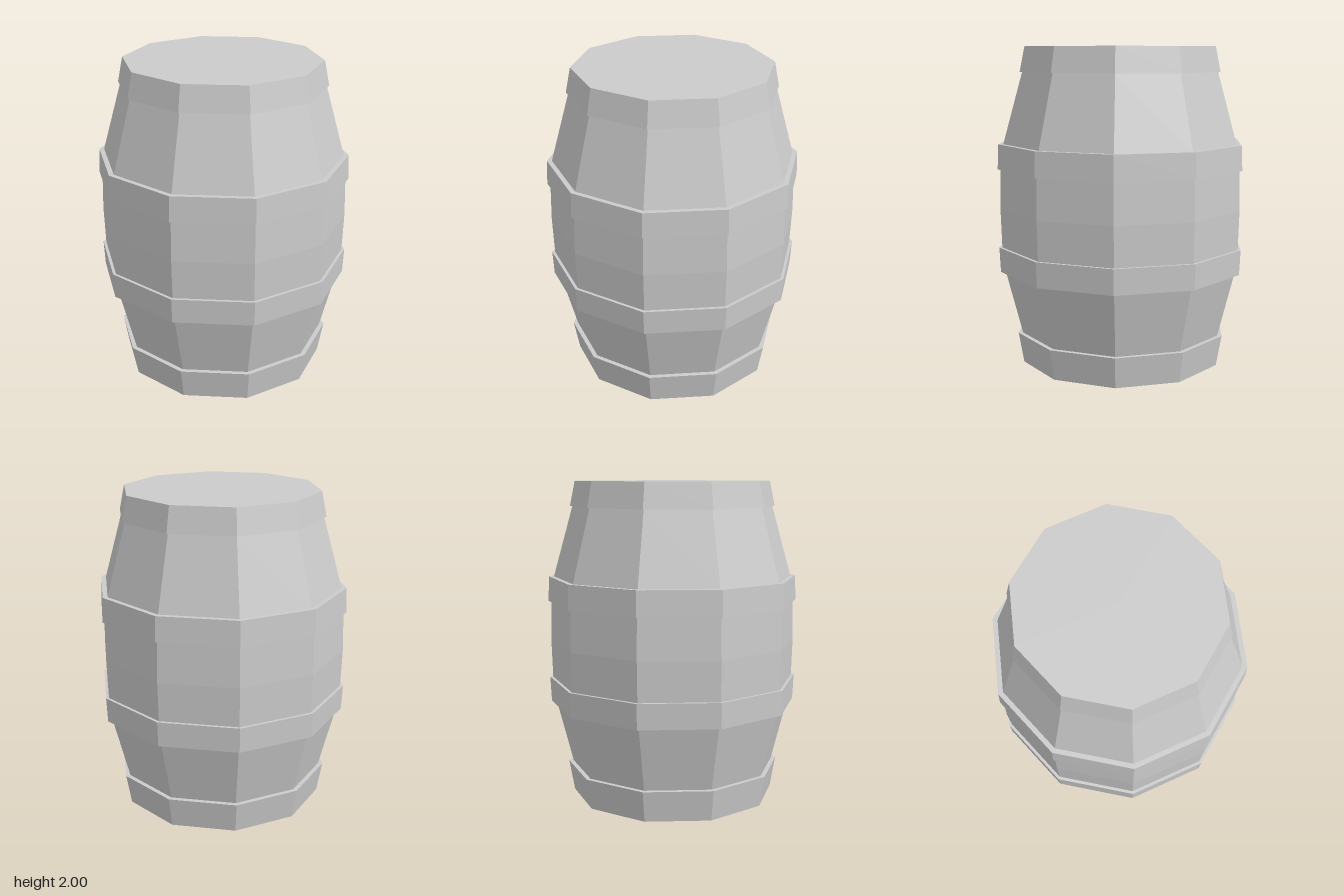
import * as THREE from 'three';

const SIDES = 10;

export function createModel() {
  const barrel = new THREE.Group();
  barrel.name = 'barrel';
  const material = new THREE.MeshStandardMaterial({ color: 0xcccccc, flatShading: true });

  // Ten-sided ring from a [radius, height] profile listed from bottom to top
  const addRing = (name, profile) => {
    const points = profile.map(([r, y]) => new THREE.Vector2(r, y));
    const mesh = new THREE.Mesh(new THREE.LatheGeometry(points, SIDES), material);
    mesh.name = name;
    barrel.add(mesh);
  };

  // Bulging staves, running between the two end hoops
  addRing('staves', [
    [0.65, 0.195], [0.752, 0.6], [0.771, 0.757], [0.778, 1],
    [0.771, 1.25], [0.752, 1.405], [0.628, 1.845],
  ]);

  // End hoops, closed flush by the lids
  addRing('bottomHoop', [[0, 0], [0.645, 0], [0.679, 0.195], [0.65, 0.195]]);
  addRing('topHoop', [[0.628, 1.845], [0.643, 1.845], [0.611, 2], [0, 2]]);

  // Middle hoops, with thin ledges down to the staves
  addRing('lowerHoop', [[0.752, 0.6], [0.783, 0.6], [0.79, 0.757], [0.771, 0.757]]);
  addRing('upperHoop', [[0.771, 1.25], [0.79, 1.25], [0.783, 1.405], [0.752, 1.405]]);

  return barrel;
}
